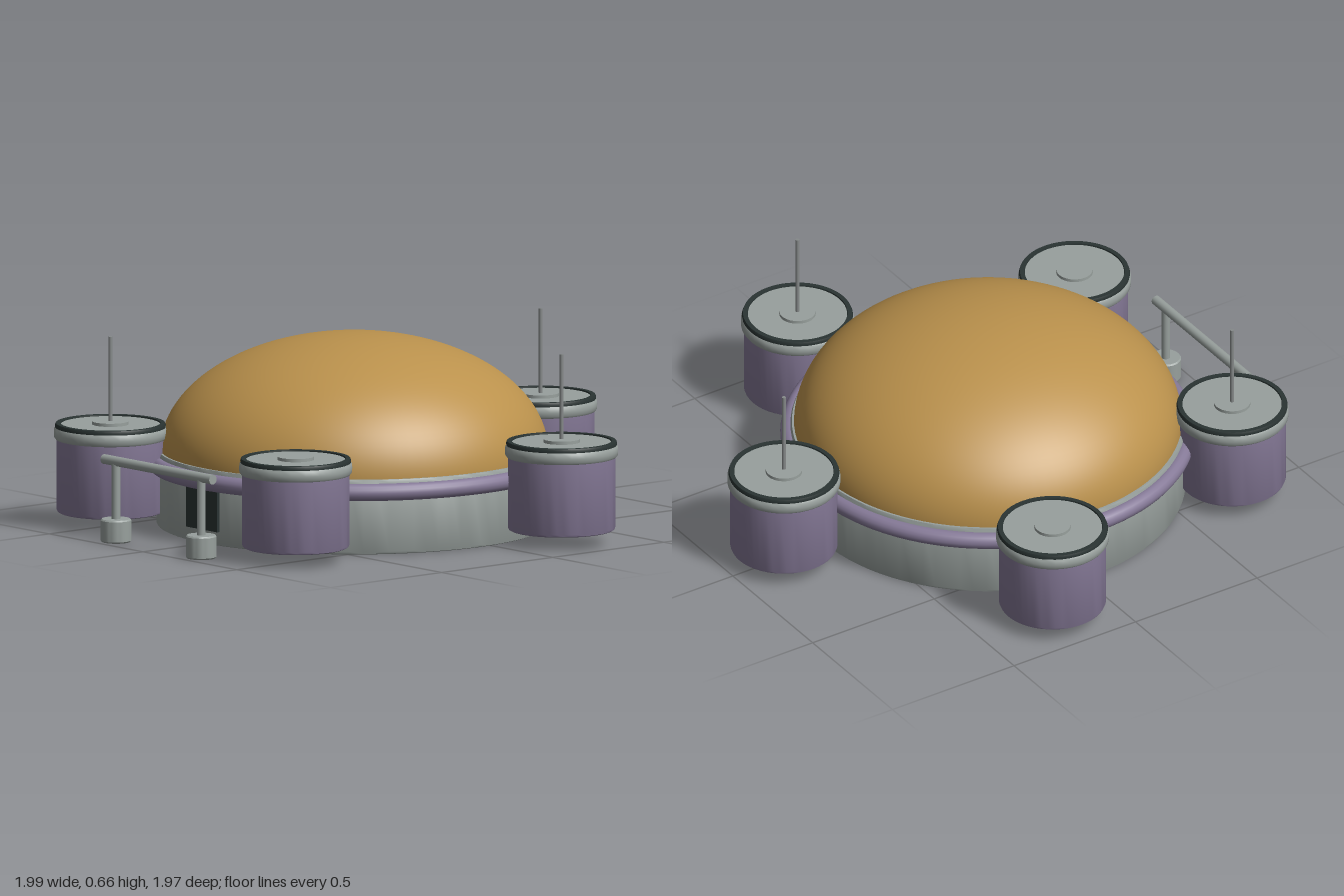
import * as THREE from 'three';
import { toCreasedNormals } from 'three/addons/utils/BufferGeometryUtils.js';

const material = (name, color) => {
  const m = new THREE.MeshStandardMaterial({ color });
  m.name = name;
  return m;
};

export function createModel() {
  const grey = material('light grey', 0x98a09d);
  const purple = material('muted purple', 0x867a98);
  const ochre = material('ochre', 0xba914c);
  const dark = material('dark green grey', 0x2a3433);
  const metal = material('antenna grey', 0x868a8a);

  const model = new THREE.Group();
  model.name = 'domedStation';

  const add = (parent, name, geometry, mat, x = 0, y = 0, z = 0) => {
    const mesh = new THREE.Mesh(geometry, mat);
    mesh.name = name;
    mesh.position.set(x, y, z);
    parent.add(mesh);
    return mesh;
  };

  // Turned solid with sharp edges, profile given as [radius, height] from bottom to top
  const turned = (profile, sides) => toCreasedNormals(
    new THREE.LatheGeometry(profile.map(([r, y]) => new THREE.Vector2(r, y)), sides), 0.6);

  // Main building: base drum, bumper ring, dome and door, set slightly forward
  const hall = new THREE.Group();
  hall.name = 'hall';
  hall.position.z = 0.05;
  model.add(hall);
  add(hall, 'base', turned([[0, 0], [0.67, 0], [0.677, 0.003], [0.68, 0.01],
    [0.68, 0.25], [0.675, 0.26], [0, 0.26]], 96), grey);
  add(hall, 'bumperRing', new THREE.TorusGeometry(0.685, 0.03, 16, 96), purple, 0, 0.218, 0)
    .rotation.x = Math.PI / 2;
  const domeShape = new THREE.SphereGeometry(1, 96, 32, 0, Math.PI * 2, 0, Math.PI / 2);
  domeShape.scale(0.668, 0.41, 0.668);
  add(hall, 'dome', domeShape, ochre, 0, 0.25, 0);
  add(hall, 'door', new THREE.BoxGeometry(0.165, 0.14, 0.03), dark, 0, 0.12, 0.671);

  // Five round pods spaced evenly around the hall, starting at the back
  const podBody = turned([[0, 0.05], [0.176, 0.05], [0.182, 0.053], [0.185, 0.06],
    [0.185, 0.32], [0, 0.32]], 48);
  const podCollar = turned([[0.18, 0.303], [0.189, 0.305], [0.194, 0.312], [0.195, 0.325],
    [0.194, 0.34], [0.189, 0.347], [0, 0.35]], 48);
  const podRim = turned([[0.17, 0.345], [0.19, 0.345], [0.191, 0.352], [0.188, 0.36],
    [0.172, 0.36], [0.17, 0.345]], 48);
  const podLid = new THREE.CylinderGeometry(0.171, 0.171, 0.01, 48);
  const podHub = new THREE.CylinderGeometry(0.063, 0.063, 0.012, 32);
  const mast = new THREE.CylinderGeometry(0.007, 0.007, 0.3, 12);
  const hasAntenna = [true, true, false, true, false];
  hasAntenna.forEach((antenna, i) => {
    const angle = i * Math.PI * 2 / 5;
    const pod = new THREE.Group();
    pod.name = `pod${i + 1}`;
    pod.position.set(Math.sin(angle) * 0.84, 0, -Math.cos(angle) * 0.84);
    hall.add(pod);
    add(pod, 'podBody', podBody, purple);
    add(pod, 'podCollar', podCollar, grey);
    add(pod, 'podRim', podRim, dark);
    add(pod, 'podLid', podLid, grey, 0, 0.35, 0);
    add(pod, 'podHub', podHub, grey, 0, 0.36, 0);
    if (antenna) add(pod, 'antenna', mast, metal, 0, 0.51, 0);
  });

  // Free-standing rail before the door
  const rail = new THREE.Group();
  rail.name = 'frontRail';
  rail.position.z = 0.93;
  model.add(rail);
  const foot = turned([[0, 0], [0.049, 0], [0.053, 0.005], [0.053, 0.075],
    [0.049, 0.08], [0, 0.08]], 32);
  for (const x of [-0.227, 0.227]) {
    add(rail, 'railFoot', foot, grey, x, 0, 0);
    add(rail, 'railPost', new THREE.CylinderGeometry(0.015, 0.015, 0.2, 16), grey, x, 0.175, 0);
  }
  add(rail, 'railBar', new THREE.CylinderGeometry(0.017, 0.017, 0.58, 16), grey, 0, 0.28, 0)
    .rotation.z = Math.PI / 2;

  return model;
}
